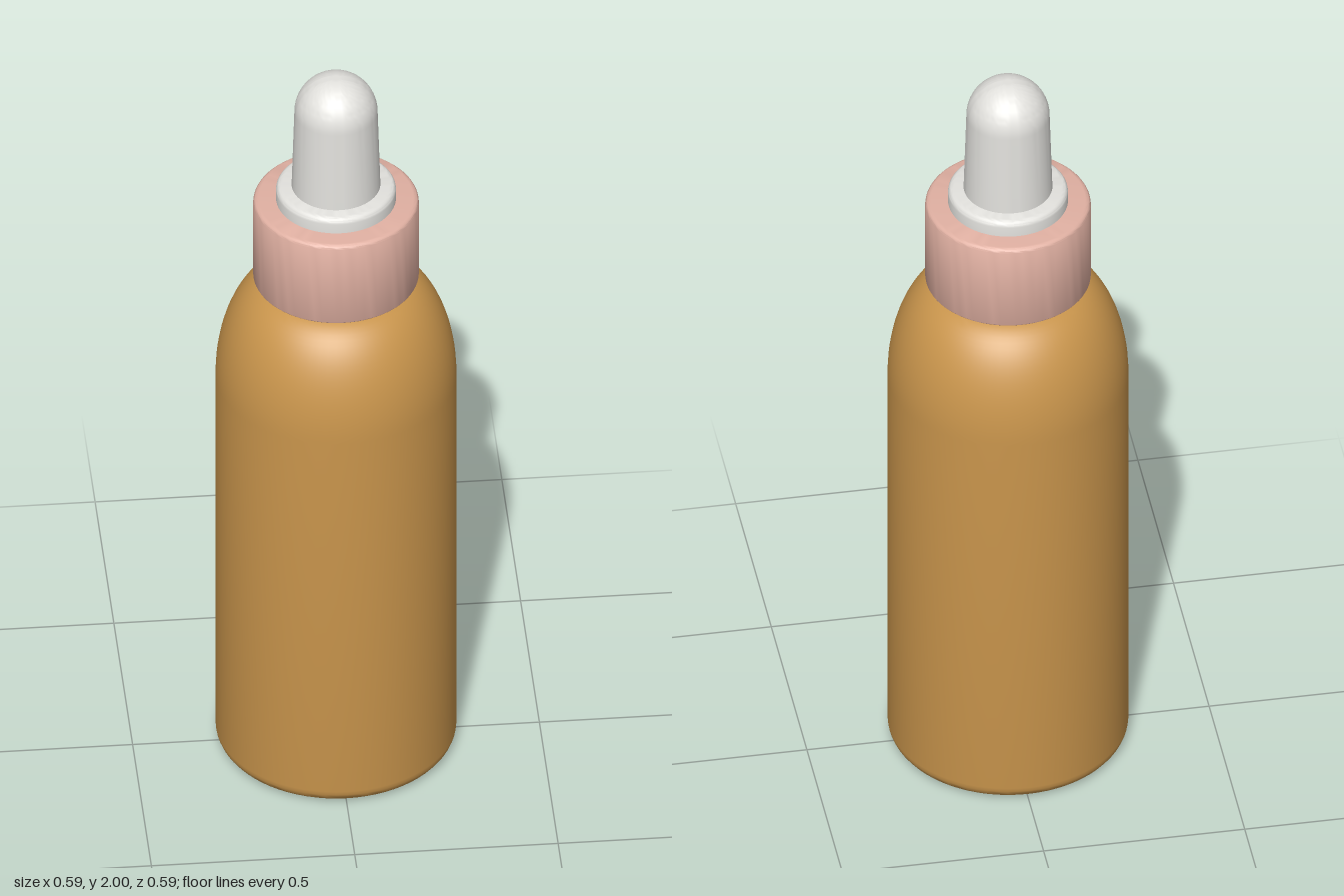
import * as THREE from 'three';
import { toCreasedNormals } from 'three/addons/utils/BufferGeometryUtils.js';

const SEGMENTS = 72;

// Points on a quarter ellipse running from the side (x = cx + rx) up to the top (y = cy + ry);
// a negative ry makes the curve for a lower edge.
function quarter(cx, cy, rx, ry, steps) {
  const points = [];
  for (let i = 0; i <= steps; i++) {
    const a = (i / steps) * Math.PI / 2;
    points.push([i === steps ? cx : cx + rx * Math.cos(a), cy + ry * Math.sin(a)]);
  }
  return points;
}

// Bottom and top rounded edges of a disc-like part
const lowerEdge = (radius, y, r, steps = 5) => quarter(radius - r, y + r, r, -r, steps).reverse();
const upperEdge = (radius, y, r, steps = 5) => quarter(radius - r, y - r, r, r, steps);

// Closed solid of revolution from a profile listed bottom to top
function turned(name, profile, material) {
  const points = profile.map(([x, y]) => new THREE.Vector2(x, y));
  const geometry = toCreasedNormals(new THREE.LatheGeometry(points, SEGMENTS), 0.6);
  const mesh = new THREE.Mesh(geometry, material);
  mesh.name = name;
  return mesh;
}

function makeMaterial(name, color) {
  const material = new THREE.MeshStandardMaterial({ color });
  material.name = name;
  return material;
}

export function createModel() {
  const amber = makeMaterial('amber glass', 0xc9954c);
  const pink = makeMaterial('pink cap', 0xe0b0a2);
  const white = makeMaterial('white rubber', 0xe2e1dd);

  const model = new THREE.Group();
  model.name = 'dropperBottle';

  // Bottle with rounded foot, domed shoulder and short neck
  model.add(turned('bottle', [
    [0, 0],
    ...lowerEdge(0.295, 0, 0.04, 6),
    ...quarter(0.15, 1.1, 0.145, 0.287, 20),
    [0.15, 1.45],
    [0, 1.45],
  ], amber));

  // Screw cap
  model.add(turned('cap', [
    [0, 1.398],
    ...lowerEdge(0.203, 1.398, 0.008),
    ...upperEdge(0.203, 1.634, 0.014),
    [0, 1.634],
  ], pink));

  // Flange at the foot of the bulb
  model.add(turned('flange', [
    [0, 1.63],
    [0.147, 1.63],
    ...upperEdge(0.147, 1.676, 0.016),
    [0, 1.676],
  ], white));

  // Squeeze bulb, slightly tapered with a round top
  model.add(turned('bulb', [
    [0, 1.67],
    [0.109, 1.67],
    ...quarter(0, 1.897, 0.102, 0.103, 18),
  ], white));

  return model;
}
